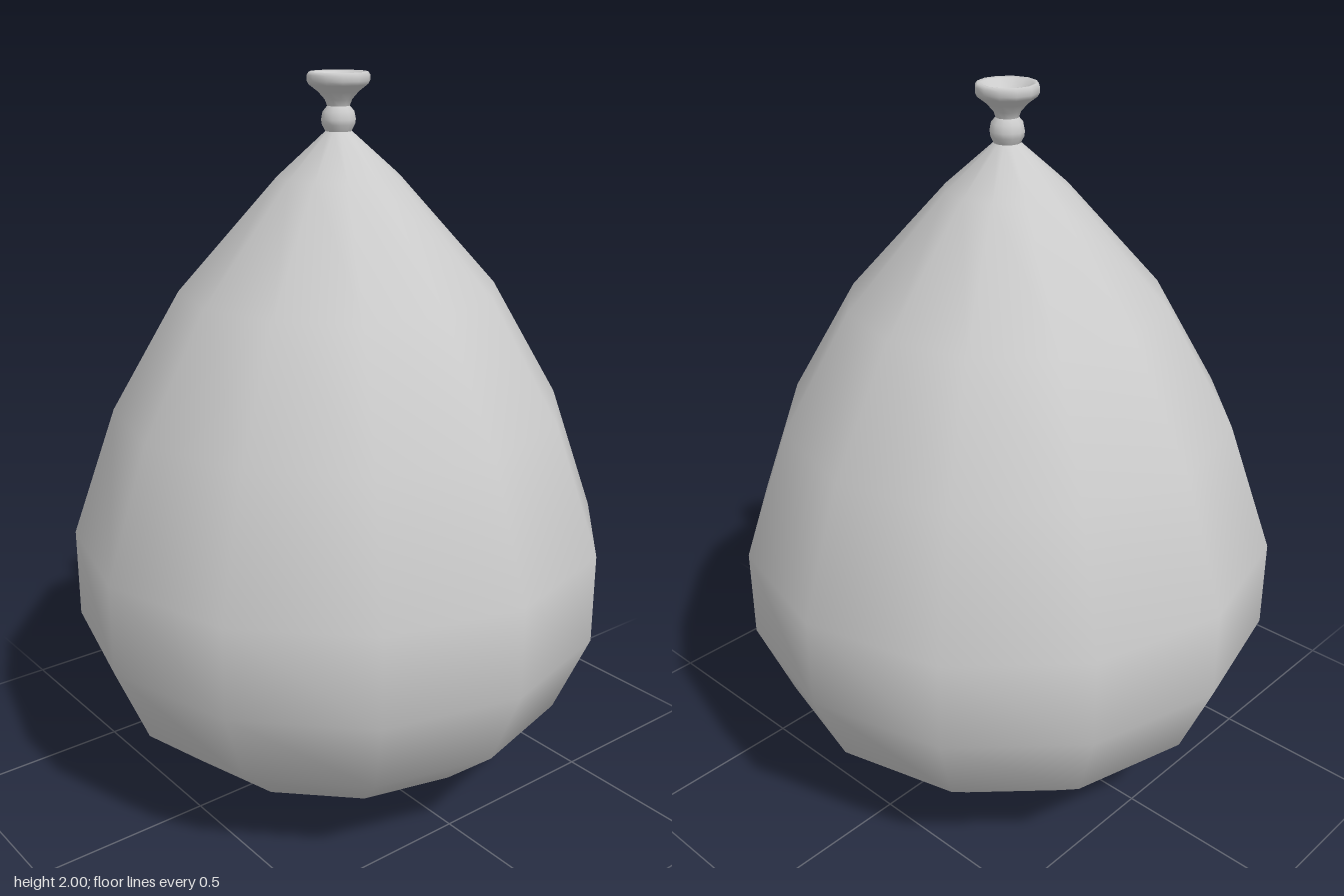
import * as THREE from 'three';

const SIDES = 12;

export function createModel() {
  const group = new THREE.Group();
  const material = new THREE.MeshStandardMaterial({ color: 0xcccccc, side: THREE.DoubleSide });

  // Turn a [radius, height] profile around the y axis
  const addLathe = (name, profile) => {
    const points = profile.map(([r, y]) => new THREE.Vector2(r, y));
    const mesh = new THREE.Mesh(new THREE.LatheGeometry(points, SIDES), material);
    mesh.name = name;
    group.add(mesh);
  };

  // Inflated teardrop body
  addLathe('balloonBody', [
    [0, 0], [0.19, 0.02], [0.365, 0.07], [0.49, 0.145], [0.65, 0.286], [0.745, 0.51],
    [0.745, 0.76], [0.62, 1.115], [0.432, 1.437], [0.164, 1.735], [0.035, 1.85],
  ]);

  // Tied knot
  addLathe('knot', [
    [0.035, 1.85], [0.044, 1.867], [0.046, 1.88], [0.042, 1.9], [0.03, 1.914],
  ]);

  // Flared mouth with a rolled rim and a dished inside
  addLathe('mouth', [
    [0.03, 1.914], [0.036, 1.93], [0.054, 1.95], [0.078, 1.968], [0.083, 1.978],
    [0.083, 1.992], [0.077, 2], [0.066, 1.998], [0.052, 1.984], [0.025, 1.968], [0, 1.963],
  ]);

  return group;
}
